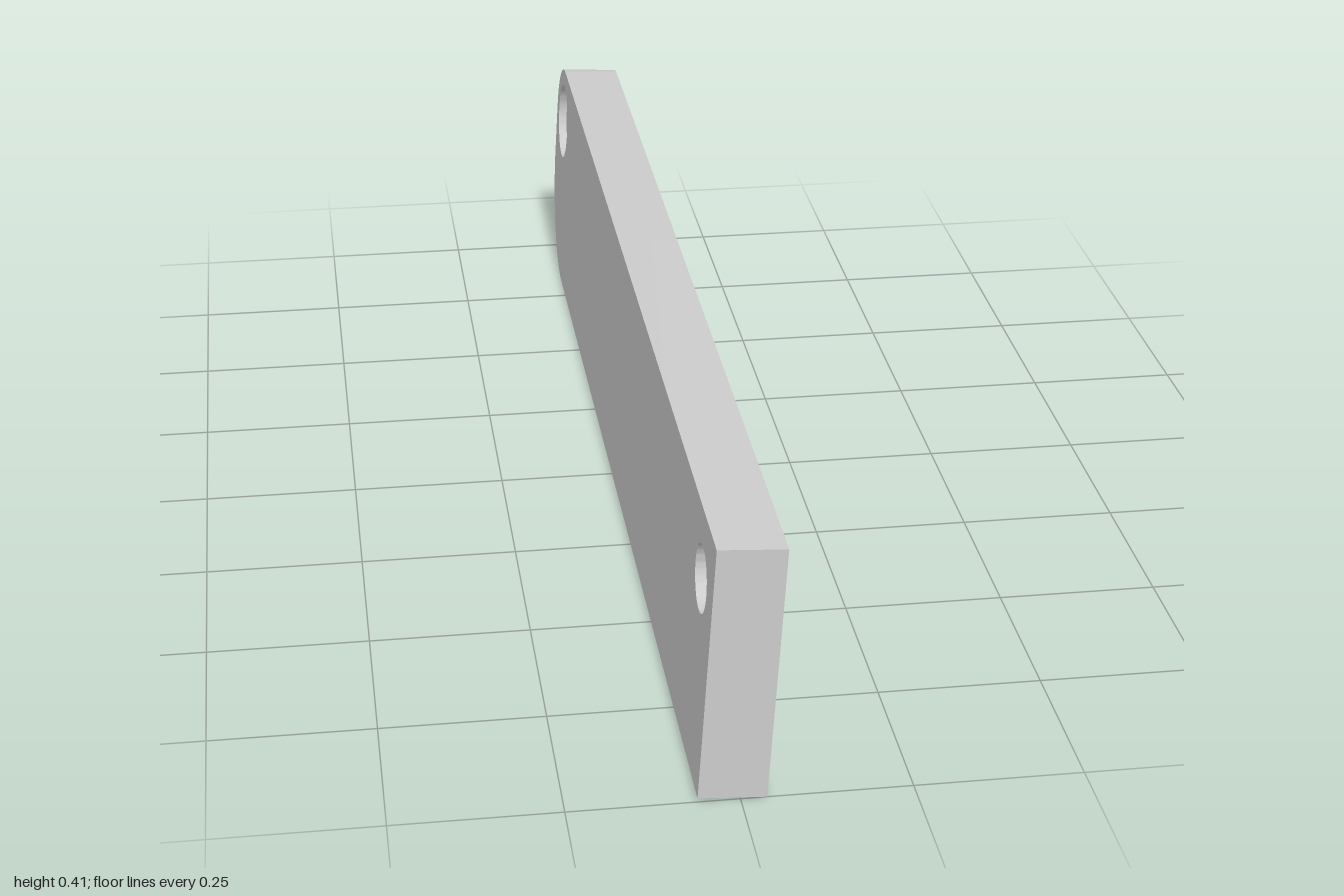
import * as THREE from 'three';
import { toCreasedNormals } from 'three/addons/utils/BufferGeometryUtils.js';

const LENGTH = 2, HEIGHT = 0.4, THICK = 0.1, TILT = 0.058;
const HOLE_R = 0.05, BORE_R = 0.07, BORE_DEPTH = 0.015;
const HOLE_U = 0.9, HOLE_V = 0.1; // hole centres along the length and up

function circlePath(u, v, r) {
  const path = new THREE.Path();
  path.absarc(u, v, r, 0, Math.PI * 2, true);
  return path;
}

export function createModel() {
  const model = new THREE.Group();
  const material = new THREE.MeshStandardMaterial({ color: 0xcccccc });
  const L = LENGTH / 2, H = HEIGHT / 2;

  // Side outline: square front end, rounded back end
  const outline = new THREE.Shape();
  outline.moveTo(-L, -H);
  outline.lineTo(L - 0.2, -H);
  outline.absarc(L - 0.2, -H + 0.2, 0.2, -Math.PI / 2, 0, false);
  outline.lineTo(L, H - 0.1);
  outline.absarc(L - 0.1, H - 0.1, 0.1, 0, Math.PI / 2, false);
  outline.lineTo(-L, H);
  outline.closePath();
  outline.holes.push(circlePath(-HOLE_U, HOLE_V, HOLE_R), circlePath(HOLE_U, HOLE_V, BORE_R));

  // Plank, with the outline turned so its rounded end points to -z
  const plankGeo = new THREE.ExtrudeGeometry(outline, { depth: THICK, bevelEnabled: false, curveSegments: 32 });
  plankGeo.translate(0, 0, -THICK / 2);
  plankGeo.rotateY(Math.PI / 2);
  const plank = new THREE.Mesh(toCreasedNormals(plankGeo, Math.PI / 6), material);
  plank.name = 'plank';

  // Narrow middle of the back hole, leaving a recess on both sides
  const h = THICK / 2 - BORE_DEPTH;
  const profile = [[BORE_R, h], [HOLE_R, h], [HOLE_R, -h], [BORE_R, -h]].map(([r, y]) => new THREE.Vector2(r, y));
  const stepGeo = new THREE.LatheGeometry(profile, 32);
  stepGeo.rotateZ(-Math.PI / 2);
  const step = new THREE.Mesh(toCreasedNormals(stepGeo, Math.PI / 6), material);
  step.name = 'recessedHoleStep';
  step.position.set(0, HOLE_V, -HOLE_U);

  // Lean the whole plank slightly and rest it on its lower edge
  const leaning = new THREE.Group();
  leaning.name = 'leaningPlank';
  leaning.add(plank, step);
  leaning.rotation.z = -TILT;
  leaning.position.y = H * Math.cos(TILT) + (THICK / 2) * Math.sin(TILT);
  model.add(leaning);
  return model;
}
